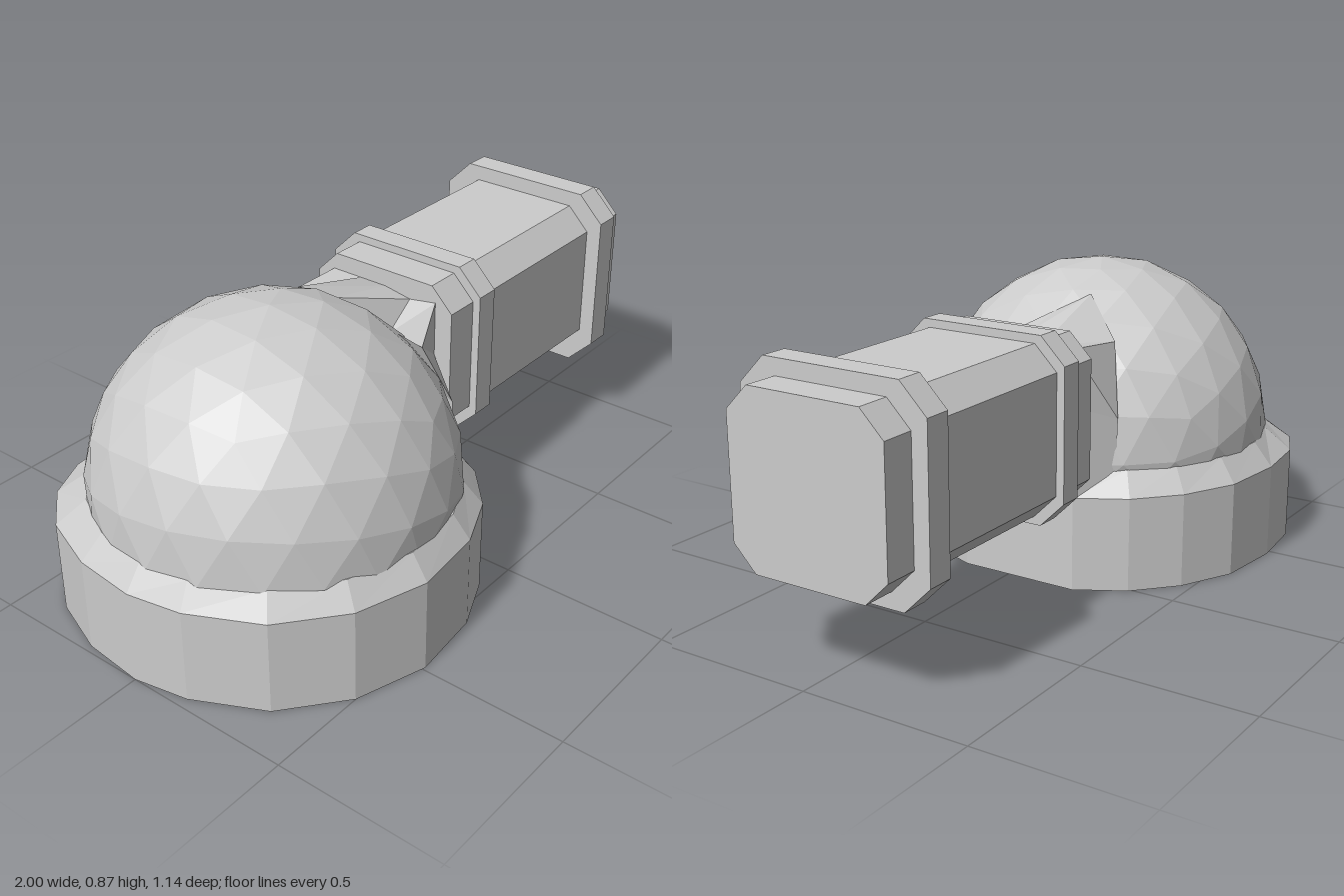
import * as THREE from 'three';

const CX = -0.43; // dome axis
const material = new THREE.MeshStandardMaterial({ color: 0xcccccc, flatShading: true });

// Skin a series of rings (counter-clockwise seen along the travel direction) and cap both ends
function loft(name, rings) {
  const pos = [];
  const tri = (...pts) => pts.forEach((p) => pos.push(...p));
  const n = rings[0].length;
  for (let r = 0; r < rings.length - 1; r++) {
    for (let i = 0; i < n; i++) {
      const j = (i + 1) % n;
      tri(rings[r][i], rings[r][j], rings[r + 1][j]);
      tri(rings[r][i], rings[r + 1][j], rings[r + 1][i]);
    }
  }
  const first = rings[0], last = rings[rings.length - 1];
  for (let i = 1; i < n - 1; i++) {
    tri(first[0], first[i + 1], first[i]);
    tri(last[0], last[i], last[i + 1]);
  }
  const geometry = new THREE.BufferGeometry();
  geometry.setAttribute('position', new THREE.Float32BufferAttribute(pos, 3));
  geometry.computeVertexNormals();
  const mesh = new THREE.Mesh(geometry, material);
  mesh.name = name;
  return mesh;
}

// Square section with cut corners, across the x axis
function section(x, half, cut) {
  const y = 0.5225, z = -0.036, k = half - cut;
  return [[half, -k], [half, k], [k, half], [-k, half], [-half, k], [-half, -k], [-k, -half], [k, -half]]
    .map(([dy, dz]) => [x, y + dy, z + dz]);
}

const bar = (name, x0, x1, half, cut) => loft(name, [section(x0, half, cut), section(x1, half, cut)]);

export function createModel() {
  const model = new THREE.Group();

  // Drum base, flattened where the passage joins, with a sloping shoulder
  const outline = [
    [0.09, 0.15], [0.09, -0.22], [0.01, -0.36], [-0.11, -0.47], [-0.27, -0.55], [-0.48, -0.572],
    [-0.67, -0.55], [-0.8, -0.49], [-0.91, -0.37], [-0.98, -0.19], [-1, 0], [-0.97, 0.16],
    [-0.87, 0.36], [-0.7, 0.5], [-0.49, 0.567], [-0.27, 0.545], [-0.11, 0.475], [0.01, 0.365],
  ];
  const shoulder = outline.map(([x, z]) => {
    const s = 0.518 / Math.hypot(x - CX, z);
    return [CX + (x - CX) * s, 0.35, z * s];
  });
  model.add(loft('base', [
    outline.map(([x, z]) => [x, 0, z]),
    outline.map(([x, z]) => [x, 0.28, z]),
    shoulder,
  ]));

  // Faceted dome, its lower half tucked into the base
  const domeGeometry = new THREE.IcosahedronGeometry(0.522, 3);
  domeGeometry.rotateZ(0.3).rotateY(0.5);
  const p = domeGeometry.attributes.position;
  for (let i = 0; i < p.count; i++) p.setY(i, Math.max(p.getY(i), -0.06));
  domeGeometry.computeVertexNormals();
  const dome = new THREE.Mesh(domeGeometry, material);
  dome.name = 'dome';
  dome.position.set(CX, 0.35, 0);
  model.add(dome);

  // Uneven neck drawn out of the dome, with a notch in its top
  model.add(loft('neck', [
    [[-0.13, 0.765, -0.03], [0.0, 0.63, 0.06], [-0.1, 0.69, 0.25], [-0.02, 0.5, 0.3], [-0.01, 0.28, 0.3],
      [-0.01, 0.28, -0.3], [-0.02, 0.5, -0.3], [-0.1, 0.7, -0.24], [-0.2, 0.805, -0.1]],
    [[0.095, 0.715, -0.03], [0.095, 0.7, 0.06], [0.095, 0.715, 0.15], [0.095, 0.55, 0.15], [0.095, 0.28, 0.15],
      [0.095, 0.28, -0.22], [0.095, 0.55, -0.22], [0.095, 0.715, -0.22], [0.095, 0.715, -0.12]],
  ]));

  // Passage with two raised collars
  model.add(bar('passage', 0.095, 1, 0.243, 0.07));
  model.add(bar('innerCollar', 0.2, 0.272, 0.267, 0.075));
  model.add(bar('outerCollar', 0.82, 0.9, 0.29, 0.08));

  return model;
}
